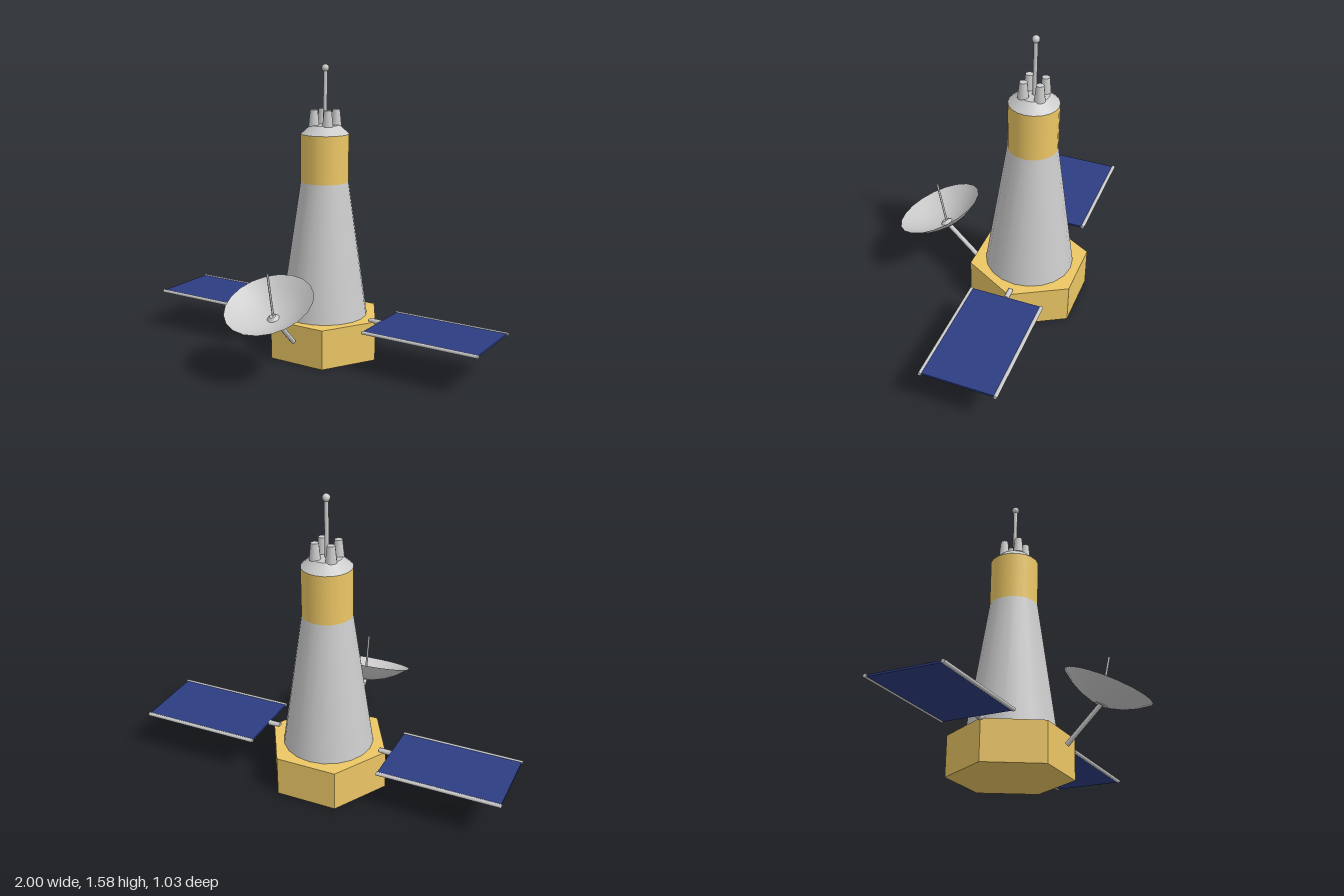
import * as THREE from 'three';

const grey = new THREE.MeshStandardMaterial({ color: 0xcccccc });
const greyOpen = new THREE.MeshStandardMaterial({ color: 0xcccccc, side: THREE.DoubleSide });
const gold = new THREE.MeshStandardMaterial({ color: 0xecc765 });
const goldFlat = new THREE.MeshStandardMaterial({ color: 0xecc765, flatShading: true });
const blue = new THREE.MeshStandardMaterial({ color: 0x2d3d82 });
const UP = new THREE.Vector3(0, 1, 0);

function add(parent, name, geometry, material, x = 0, y = 0, z = 0) {
  const mesh = new THREE.Mesh(geometry, material);
  mesh.name = name;
  mesh.position.set(x, y, z);
  parent.add(mesh);
  return mesh;
}

// Upright round section from height y0 to y1
function section(parent, name, r0, r1, y0, y1, material, sides = 20, x = 0, z = 0) {
  const geometry = new THREE.CylinderGeometry(r1, r0, y1 - y0, sides);
  return add(parent, name, geometry, material, x, (y0 + y1) / 2, z);
}

// Straight round bar between two points
function bar(parent, name, a, b, r, sides = 8) {
  const from = new THREE.Vector3(...a), to = new THREE.Vector3(...b);
  const dir = to.clone().sub(from);
  const mesh = add(parent, name, new THREE.CylinderGeometry(r, r, dir.length(), sides), grey);
  mesh.position.copy(from).add(to).multiplyScalar(0.5);
  mesh.quaternion.setFromUnitVectors(UP, dir.normalize());
  return mesh;
}

export function createModel() {
  const model = new THREE.Group();
  model.name = 'spaceProbe';

  // Hull, stacked around its own axis
  const hull = new THREE.Group();
  hull.name = 'hull';
  hull.position.z = -0.235;
  model.add(hull);
  section(hull, 'hexagonalBase', 0.325, 0.325, 0, 0.217, goldFlat, 6).rotation.y = Math.PI / 6;
  section(hull, 'taperedBody', 0.237, 0.13, 0.217, 0.955, grey);
  section(hull, 'goldBand', 0.13, 0.13, 0.955, 1.213, gold);
  section(hull, 'shoulder', 0.13, 0.077, 1.213, 1.26, grey);

  // Four small thrusters around the mast
  for (const sx of [-1, 1]) {
    for (const sz of [-1, 1]) {
      section(hull, 'thruster', 0.029, 0.02, 1.255, 1.342, grey, 12, sx * 0.043, sz * 0.043);
    }
  }
  section(hull, 'mast', 0.011, 0.011, 1.255, 1.56, grey, 10);
  add(hull, 'mastTip', new THREE.SphereGeometry(0.02, 12, 8), grey, 0, 1.56, 0);

  // Mirrored solar wings
  for (const s of [-1, 1]) {
    const wing = new THREE.Group();
    wing.name = s > 0 ? 'leftWing' : 'rightWing';
    wing.position.set(0, 0.22, -0.235);
    model.add(wing);
    bar(wing, 'wingJoint', [s * 0.29, 0, 0], [s * 0.357, 0, 0], 0.014);
    add(wing, 'solarPanel', new THREE.BoxGeometry(0.64, 0.01, 0.385), blue, s * 0.675, 0, 0);
    for (const sz of [-1, 1]) {
      bar(wing, 'wingRail', [s * 0.353, 0, sz * 0.194], [s * 1.0, 0, sz * 0.194], 0.01);
    }
  }

  // Parabolic dish, tilted forward
  const R = 0.237, depth = 0.1;
  const profile = [];
  for (let i = 0; i <= 4; i++) {
    const t = i / 4;
    profile.push(new THREE.Vector2(R * t, depth * (t * t - 1)));
  }
  const antenna = new THREE.Group();
  antenna.name = 'dishAntenna';
  antenna.position.set(0, 0.405, 0.3);
  antenna.rotation.x = 0.435;
  model.add(antenna);
  add(antenna, 'dish', new THREE.LatheGeometry(profile, 20), greyOpen);
  section(antenna, 'feedHub', 0.036, 0.016, -0.1, -0.082, grey, 16);

  // Feed rod and support strut
  bar(model, 'feedRod', [0, 0.315, 0.257], [0, 0.564, 0.308], 0.006);
  bar(model, 'dishStrut', [0, 0.135, 0.073], [0, 0.322, 0.262], 0.013);

  return model;
}
